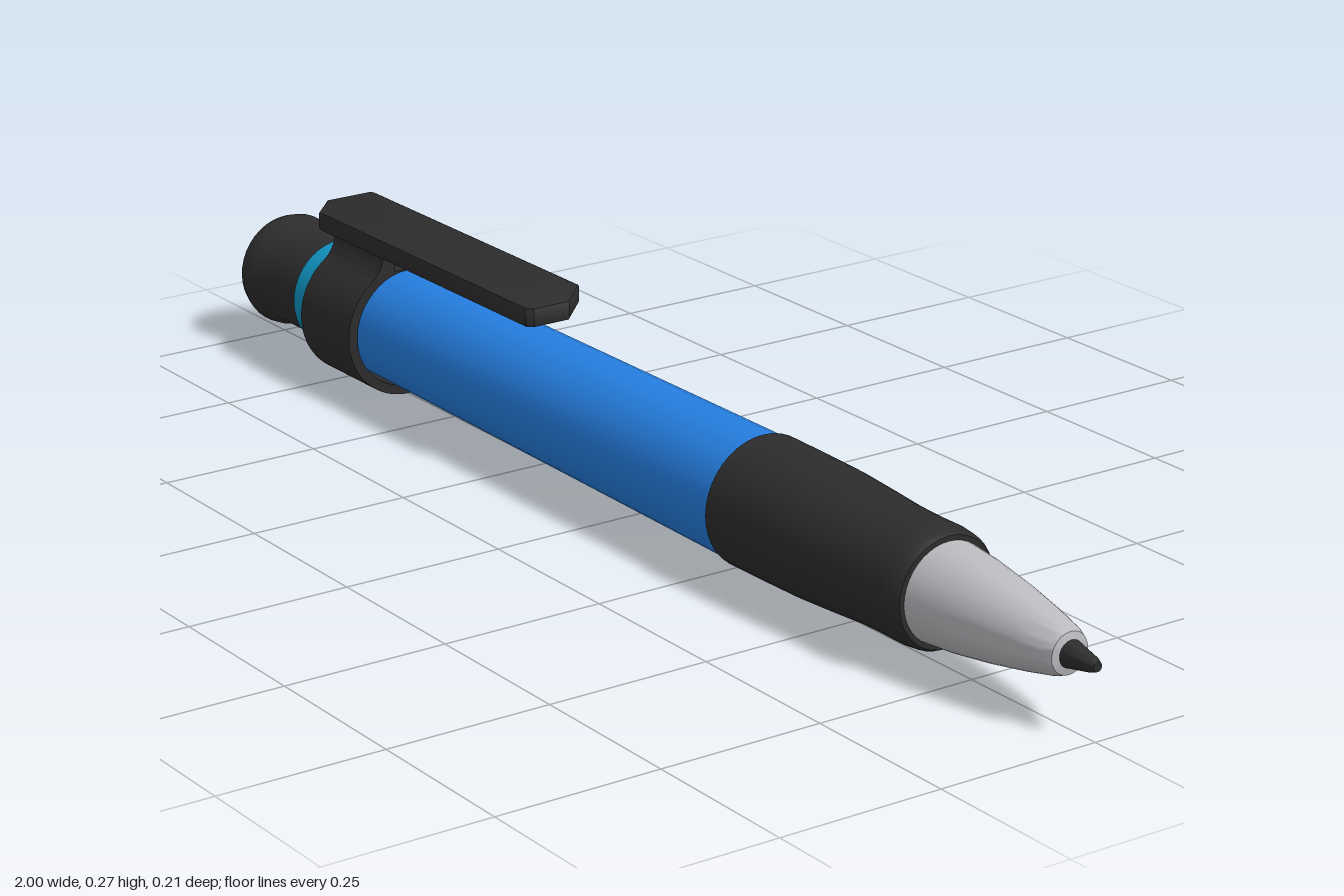
import * as THREE from 'three';
import { toCreasedNormals } from 'three/addons/utils/BufferGeometryUtils.js';

const material = (name, color) => {
  const m = new THREE.MeshStandardMaterial({ color });
  m.name = name;
  return m;
};

export function createModel() {
  const black = material('black rubber', 0x2c2c2c);
  const blue = material('blue plastic', 0x257ee0);
  const cyan = material('cyan plastic', 0x1092c0);
  const silver = material('silver', 0xbababf);

  const model = new THREE.Group();
  model.name = 'pen';

  const add = (parent, name, geometry, mat) => {
    const mesh = new THREE.Mesh(geometry, mat);
    mesh.name = name;
    parent.add(mesh);
    return mesh;
  };

  // Barrel parts, turned around the long axis; it leans very slightly
  const barrel = new THREE.Group();
  barrel.name = 'barrel';
  barrel.position.set(0, 0.107, -0.0015);
  barrel.rotation.set(0, -0.0015, -0.003);
  model.add(barrel);

  // Profile points are [x along the pen, radius]
  const turned = (name, profile, mat) => {
    const points = profile.map(([x, r]) => new THREE.Vector2(r, x));
    const geometry = new THREE.LatheGeometry(points, 40).rotateZ(-Math.PI / 2);
    return add(barrel, name, toCreasedNormals(geometry, 0.6), mat);
  };

  turned('pushButton', [
    [-1, 0], [-1, 0.07], [-0.99, 0.084], [-0.975, 0.089], [-0.958, 0.087],
    [-0.942, 0.08], [-0.9, 0.079], [-0.82, 0.079],
  ], black);
  turned('rearBand', [[-0.826, 0], [-0.826, 0.087], [-0.76, 0.087]], cyan);
  turned('body', [[-0.768, 0], [-0.768, 0.089], [-0.3, 0.091], [0.29, 0.094]], blue);
  turned('grip', [
    [0.285, 0.09], [0.285, 0.098], [0.36, 0.0975], [0.44, 0.096], [0.51, 0.092],
    [0.57, 0.088], [0.62, 0.087], [0.66, 0.0875], [0.685, 0.085], [0.695, 0.08], [0.695, 0.06],
  ], black);
  turned('nose', [
    [0.69, 0.073], [0.75, 0.068], [0.82, 0.058], [0.88, 0.047],
    [0.93, 0.036], [0.945, 0.03], [0.948, 0.018],
  ], silver);
  turned('writingTip', [[0.945, 0.02], [0.99, 0.011], [1, 0.007], [1, 0]], black);

  // Clip collar: a ring whose top flares into two struts
  const cy = 0.105, radius = 0.105, start = 0.94;
  const sx = radius * Math.cos(start), sy = cy + radius * Math.sin(start);
  const outline = new THREE.Shape();
  outline.moveTo(0.02, 0.2);
  outline.lineTo(0.02, 0.24);
  outline.lineTo(0.039, 0.24);
  outline.quadraticCurveTo(0.041, 0.205, sx, sy);
  outline.absarc(0, cy, radius, start, Math.PI - start, true);
  outline.quadraticCurveTo(-0.041, 0.205, -0.039, 0.24);
  outline.lineTo(-0.02, 0.24);
  outline.lineTo(-0.02, 0.2);
  const bore = new THREE.Path();
  bore.absarc(0, cy, 0.09, 0, Math.PI * 2, false);
  outline.holes.push(bore);
  const collar = new THREE.ExtrudeGeometry(outline, { depth: 0.14, bevelEnabled: false, curveSegments: 32 });
  collar.rotateY(Math.PI / 2).translate(-0.77, 0, 0);
  add(model, 'clipCollar', toCreasedNormals(collar, 0.6), black);

  // Clip bar with two cut corners, [x, z] in plan
  const b = 0.004;
  const plan = [
    [-0.817, -0.054], [-0.817, 0.021], [-0.773, 0.062], [-0.205, 0.062],
    [-0.198, 0.055], [-0.198, -0.003], [-0.252, -0.056], [-0.813, -0.056],
  ].map(([x, z]) => new THREE.Vector2(x, -z));
  const bar = new THREE.ExtrudeGeometry(new THREE.Shape(plan), {
    depth: 0.03 - 2 * b, bevelEnabled: true, bevelSize: b, bevelThickness: b, bevelSegments: 2,
  });
  bar.rotateX(-Math.PI / 2).translate(0, 0.237 + b, 0);
  add(model, 'clipBar', toCreasedNormals(bar, 0.5), black);

  return model;
}
